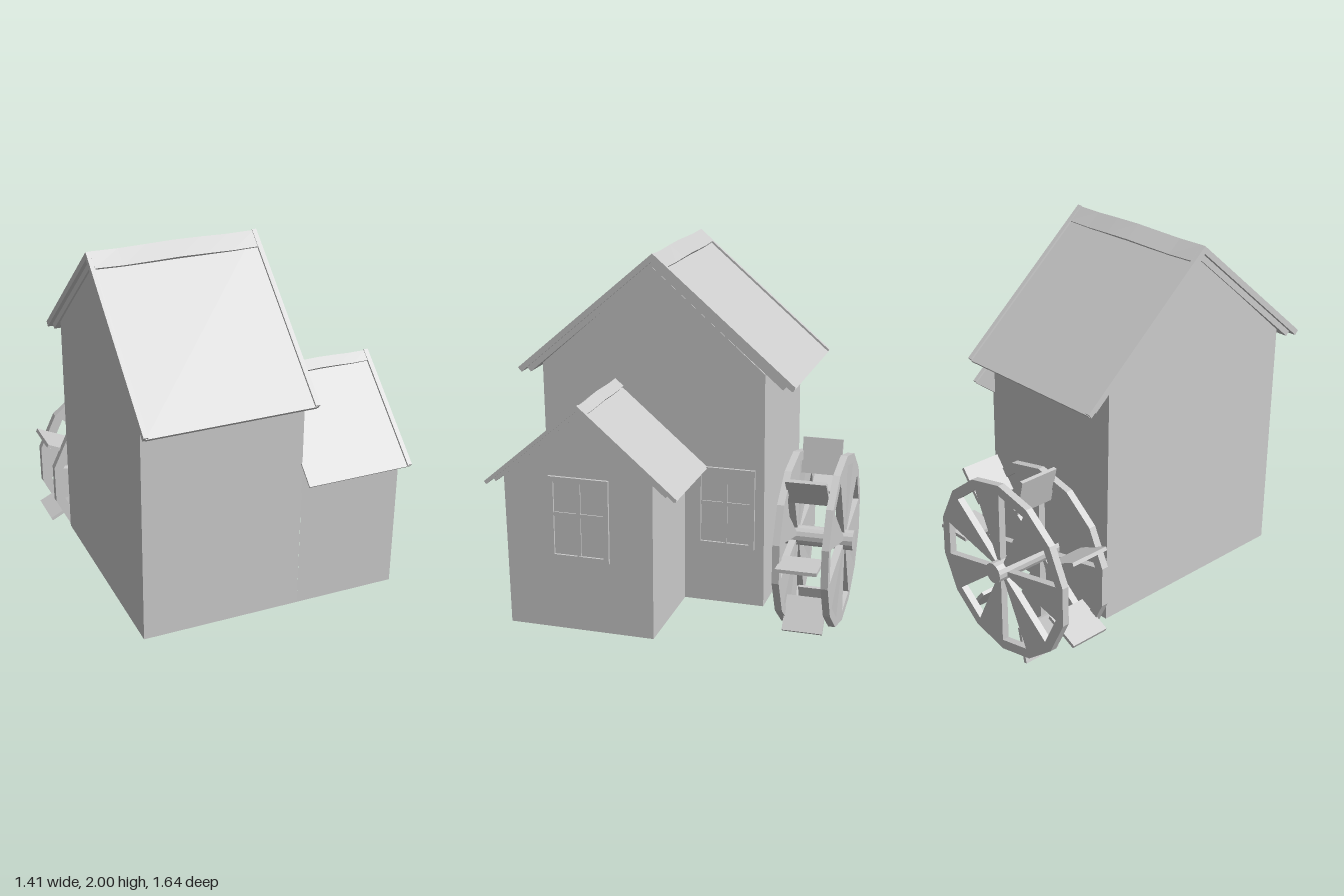
import * as THREE from 'three';

const grey = new THREE.MeshStandardMaterial({ color: 0xcccccc, flatShading: true });
const greyDouble = new THREE.MeshStandardMaterial({ color: 0xcccccc, flatShading: true, side: THREE.DoubleSide });

function add(parent, name, geometry, material = grey) {
  const mesh = new THREE.Mesh(geometry, material);
  mesh.name = name;
  parent.add(mesh);
  return mesh;
}

// Gabled shell, open underneath; outline holds [z, y] points from front foot to back foot
function gableShell(outline, x0, x1, closeInner) {
  const pos = [];
  const put = (x, [z, y]) => pos.push(x, y, z);
  for (let i = 0; i < outline.length - 1; i++) {
    const a = outline[i], b = outline[i + 1];
    put(x0, a); put(x1, a); put(x1, b);
    put(x0, a); put(x1, b); put(x0, b);
  }
  for (let i = 1; i < outline.length - 1; i++) {
    put(x1, outline[0]); put(x1, outline[i + 1]); put(x1, outline[i]);
    if (closeInner) { put(x0, outline[0]); put(x0, outline[i]); put(x0, outline[i + 1]); }
  }
  // Wind every face outward
  for (let i = 0; i < pos.length; i += 9) {
    for (let k = 0; k < 3; k++) [pos[i + 3 + k], pos[i + 6 + k]] = [pos[i + 6 + k], pos[i + 3 + k]];
  }
  const g = new THREE.BufferGeometry();
  g.setAttribute('position', new THREE.Float32BufferAttribute(pos, 3));
  g.computeVertexNormals();
  return g;
}

// Inverted V strip between two depths below the roof line, run along x
function chevron(slope, run, top, bottom, x0, x1, steps = 1) {
  const c = Math.hypot(1, slope);
  const cut = ((bottom - top) * slope) / c;
  const line = (z, depth) => -slope * z - depth * c;
  const r2 = run - cut;
  const shape = new THREE.Shape([
    [0, line(0, top)], [-run, line(run, top)], [-r2, line(r2, bottom)],
    [0, line(0, bottom)], [r2, line(r2, bottom)], [run, line(run, top)],
  ].map(([x, y]) => new THREE.Vector2(x, y)));
  const g = new THREE.ExtrudeGeometry(shape, { depth: x1 - x0, steps, bevelEnabled: false });
  return g.rotateY(-Math.PI / 2).translate(x1, 0, 0);
}

function roof({ name, ridge, slope, run, x0, x1, thick, barges, capWidth }) {
  const group = new THREE.Group();
  group.name = name;
  group.position.set(0, ridge[1], ridge[0]);
  const mid = thick * 0.5;
  add(group, 'roofSlab', chevron(slope, run - 0.004, 0.01, mid, x0 + 0.01, x1 - 0.01));
  add(group, 'roofUnderlayer', chevron(slope, run - 0.045, mid, thick, x0 + 0.02, x1 - 0.012));
  for (const bx of barges) add(group, 'bargeBoard', chevron(slope, run, 0, mid, bx, bx + 0.022));
  // Ridge cap with a gently uneven line
  const cap = chevron(slope, capWidth, -0.001, 0.016, x0 + 0.02, x1 - 0.015, 6);
  const p = cap.attributes.position;
  for (let i = 0; i < p.count; i++) {
    const t = (p.getX(i) - x0) / (x1 - x0);
    const z = p.getZ(i);
    p.setY(i, p.getY(i) - 0.004 * t - 0.003 * Math.sin(t * 9));
    p.setZ(i, z * (1 + 0.1 * Math.sin(t * Math.PI)));
  }
  cap.computeVertexNormals();
  add(group, 'ridgeCap', cap);
  return group;
}

function rectPath(Type, x0, y0, x1, y1) {
  return new Type([[x0, y0], [x1, y0], [x1, y1], [x0, y1]].map(([x, y]) => new THREE.Vector2(x, y)));
}

// Four-pane window facing +x
function windowUnit(name, x, y, z) {
  const group = new THREE.Group();
  group.name = name;
  group.position.set(x, y, z);
  const w = 0.148, h = 0.205;
  const frame = rectPath(THREE.Shape, -w, -h, w, h);
  frame.holes.push(rectPath(THREE.Path, -w + 0.025, -h + 0.025, w - 0.025, h - 0.025));
  const extrude = (s, depth) =>
    new THREE.ExtrudeGeometry(s, { depth, bevelEnabled: false }).rotateY(Math.PI / 2);
  add(group, 'windowFrame', extrude(frame, 0.014));
  add(group, 'mullion', extrude(rectPath(THREE.Shape, -0.01, -h + 0.02, 0.01, h - 0.02), 0.01));
  add(group, 'glazingBar', extrude(rectPath(THREE.Shape, -w + 0.02, 0.01, w - 0.02, 0.03), 0.009));
  add(group, 'pane', extrude(rectPath(THREE.Shape, -w + 0.02, -h + 0.02, w - 0.02, h - 0.02), 0.003));
  return group;
}

function waterWheel() {
  const group = new THREE.Group();
  group.name = 'waterWheel';
  group.position.set(-0.245, 0.502, 0);
  const sides = 14, step = (Math.PI * 2) / sides;
  const polar = (r, k) => {
    const a = -Math.PI / 2 + k * step;
    return new THREE.Vector2(r * Math.cos(a), r * Math.sin(a));
  };
  // Side discs: solid wedges alternating with openings
  const disc = new THREE.Shape(Array.from({ length: sides }, (_, k) => polar(0.45, k)));
  for (let k = 1; k < sides; k += 2) {
    disc.holes.push(new THREE.Path([polar(0.045, k), polar(0.045, k + 1), polar(0.4, k + 1), polar(0.4, k)]));
  }
  const discGeometry = new THREE.ExtrudeGeometry(disc, { depth: 0.036, bevelEnabled: false });
  for (const z of [-0.531, -0.775]) add(group, 'wheelDisc', discGeometry).position.z = z;
  // Paddles centred on the openings
  for (let k = 1; k < sides; k += 2) {
    const paddle = add(group, 'paddle', new THREE.BoxGeometry(0.186, 0.018, 0.206));
    const p = polar(0.418, k + 0.5);
    paddle.position.set(p.x, p.y, -0.628);
    paddle.rotation.z = Math.atan2(p.y, p.x);
  }
  const axle = add(group, 'axle', new THREE.CylinderGeometry(0.052, 0.052, 0.38, 14));
  axle.rotation.x = Math.PI / 2;
  axle.position.z = -0.632;
  return group;
}

export function createModel() {
  const model = new THREE.Group();
  model.name = 'watermill';

  // Walls
  add(model, 'mainWalls', gableShell(
    [[0.675, 0.265], [0.69, 1.43], [0.115, 1.93], [-0.44, 1.45], [-0.45, 0.265]], -0.625, 0.172, true), greyDouble);
  add(model, 'wingWalls', gableShell(
    [[0.675, 0.265], [0.688, 1.015], [0.31, 1.335], [-0.045, 1.03], [-0.045, 0.265]], 0.172, 0.687, false), greyDouble);

  // Roofs
  model.add(roof({
    name: 'mainRoof', ridge: [0.115, 1.999], slope: 0.851, run: 0.705, x0: -0.655, x1: 0.182,
    thick: 0.056, barges: [-0.655, 0.16], capWidth: 0.068,
  }));
  model.add(roof({
    name: 'wingRoof', ridge: [0.31, 1.379], slope: 0.853, run: 0.475, x0: 0.155, x1: 0.702,
    thick: 0.036, barges: [0.68], capWidth: 0.042,
  }));

  // Windows
  model.add(windowUnit('wingWindow', 0.687, 0.825, 0.315));
  model.add(windowUnit('mainWindow', 0.172, 0.765, -0.252));

  model.add(waterWheel());
  return model;
}
